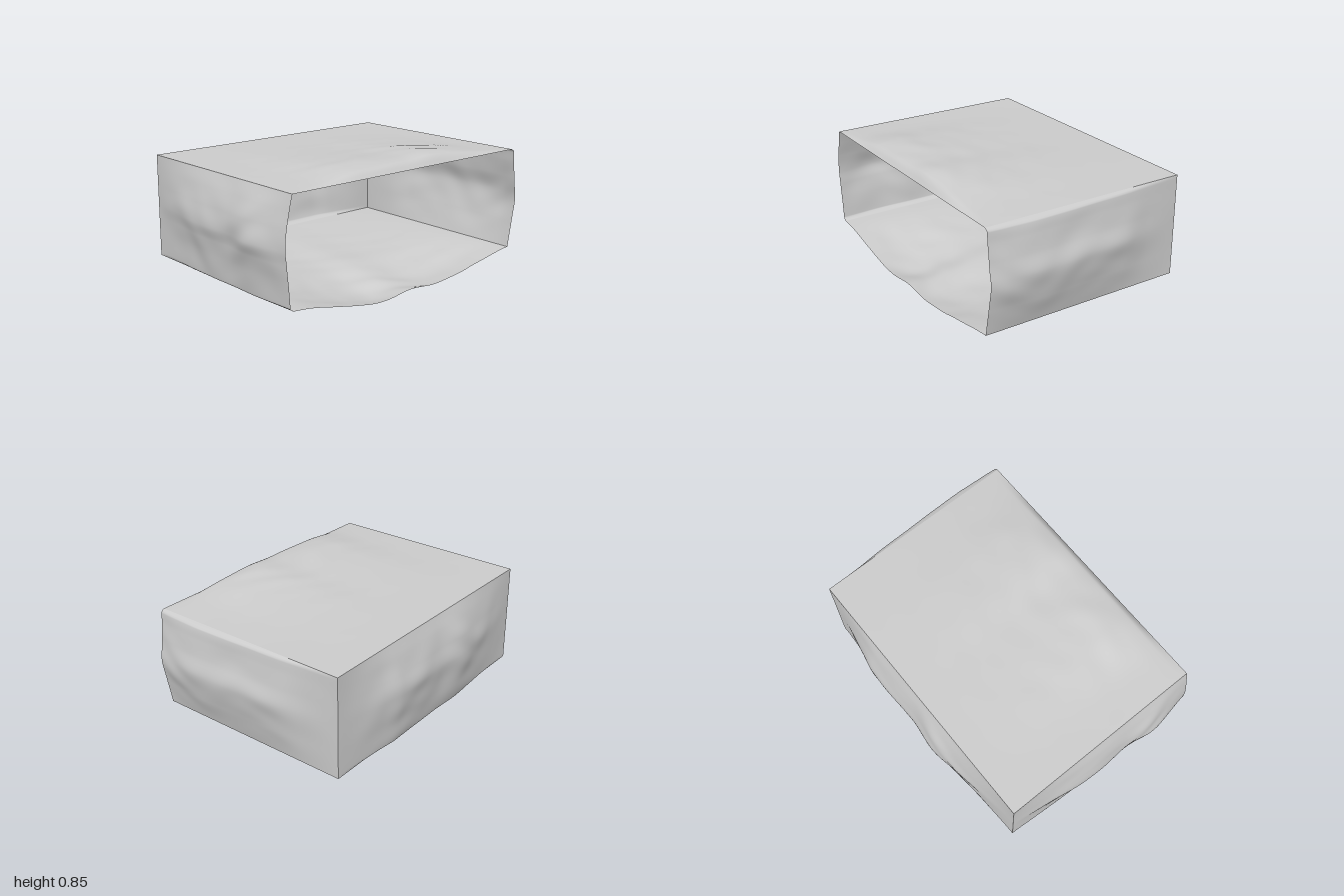
import * as THREE from 'three';

// Smooth curve through [position, bulge] points without overshoot
function profile(points) {
  const slope = (i) => (points[i + 1][1] - points[i][1]) / (points[i + 1][0] - points[i][0]);
  const last = points.length - 1;
  const tangents = points.map((p, i) => {
    if (i === 0) return slope(0);
    if (i === last) return slope(last - 1);
    const a = slope(i - 1), b = slope(i);
    return a * b <= 0 ? 0 : (2 * a * b) / (a + b);
  });
  return (x) => {
    let i = 0;
    while (i < last - 1 && x > points[i + 1][0]) i++;
    const h = points[i + 1][0] - points[i][0];
    const t = (x - points[i][0]) / h, t2 = t * t, t3 = t2 * t;
    return (2 * t3 - 3 * t2 + 1) * points[i][1] + (t3 - 2 * t2 + t) * h * tangents[i]
      + (3 * t2 - 2 * t3) * points[i + 1][1] + (t3 - t2) * h * tangents[i + 1];
  };
}

// Long streaky wrinkles: l runs along the streaks, s across them
function wrinkles(l, s, seed) {
  const warp = Math.sin(5.3 * l + seed) + 0.6 * Math.sin(9.1 * l - 4 * s + 2 * seed);
  return 0.5 * Math.sin(17 * s + 3 * l + 1.3 * warp + seed)
    + 0.35 * Math.sin(31 * s - 6 * l + 1.7 * warp + 3 * seed)
    + 0.25 * Math.sin(8 * l + 9 * s + 5 * seed)
    + 0.2 * Math.sin(19 * l + 23 * s + warp + seed);
}

const material = new THREE.MeshStandardMaterial({ color: 0xcccccc, side: THREE.DoubleSide });
const SEGMENTS = 84;

// Wall whose bulge is the product of a profile along u and one along v
function wall({ name, u, v, place, seed, rough, streaksAlongU }) {
  const along = profile(u), across = profile(v);
  const peak = Math.max(...u.map((p) => p[1]));
  const geometry = new THREE.PlaneGeometry(1, 1, SEGMENTS, SEGMENTS);
  const position = geometry.attributes.position;
  const lerp = THREE.MathUtils.lerp;
  for (let i = 0; i < position.count; i++) {
    const a = lerp(u[0][0], u[u.length - 1][0], position.getX(i) + 0.5);
    const b = lerp(v[0][0], v[v.length - 1][0], position.getY(i) + 0.5);
    const n = streaksAlongU ? wrinkles(a, b, seed) : wrinkles(b, a, seed);
    const bulge = Math.max(0, along(a) * across(b) / peak) * (0.97 + rough * n);
    position.setXYZ(i, ...place(a, b, bulge));
  }
  geometry.computeVertexNormals();
  const mesh = new THREE.Mesh(geometry, material);
  mesh.name = name;
  return mesh;
}

export function createModel() {
  const group = new THREE.Group();
  group.name = 'openShell';

  // Box behind the bulges, open at the front
  const X = 0.9, BOTTOM = 0.14, TOP = 0.79, BACK = -0.62, FRONT = 0.72;

  group.add(wall({
    name: 'topWall', seed: 1.4, rough: 0.06, streaksAlongU: false,
    u: [[BACK, 0], [-0.45, 0.004], [0, 0.025], [0.3, 0.048], [0.57, 0.068], [0.68, 0.052], [FRONT, 0]],
    v: [[-X, 0], [-0.7, 0.012], [-0.4, 0.054], [-0.2, 0.06], [0, 0.056], [0.2, 0.068], [0.45, 0.05], [0.7, 0.016], [X, 0]],
    place: (z, x, d) => [x, TOP + d, z],
  }));

  group.add(wall({
    name: 'bottomWall', seed: 2.7, rough: 0.05, streaksAlongU: true,
    u: [[-X, 0], [-0.8, 0.012], [-0.6, 0.06], [-0.4, 0.11], [-0.2, 0.138], [0, 0.105], [0.2, 0.12], [0.42, 0.098], [0.6, 0.06], [0.85, 0.006], [X, 0]],
    v: [[BACK, 0], [-0.3, 0.03], [0, 0.056], [0.2, 0.074], [0.4, 0.118], [0.57, 0.138], [FRONT, 0.112]],
    place: (x, z, d) => [x, BOTTOM - d, z],
  }));

  group.add(wall({
    name: 'backWall', seed: 4.1, rough: 0.08, streaksAlongU: false,
    u: [[BOTTOM, 0], [0.156, 0.04], [0.3, 0.07], [0.48, 0.102], [0.6, 0.076], [0.7, 0.04], [TOP, 0]],
    v: [[-X, 0], [-0.8, 0.012], [-0.6, 0.04], [-0.4, 0.07], [-0.2, 0.102], [0, 0.08], [0.2, 0.085], [0.4, 0.085], [0.55, 0.055], [0.8, 0.01], [X, 0]],
    place: (y, x, d) => [x, y, BACK - d],
  }));

  group.add(wall({
    name: 'leftWall', seed: 5.9, rough: 0.08, streaksAlongU: false,
    u: [[BOTTOM, 0], [0.3, 0.05], [0.48, 0.092], [0.6, 0.066], [0.7, 0.046], [0.776, 0.035], [TOP, 0]],
    v: [[BACK, 0], [-0.4, 0.025], [-0.2, 0.062], [0, 0.075], [0.2, 0.084], [0.4, 0.092], [0.6, 0.076], [FRONT, 0.055]],
    place: (y, z, d) => [X + d, y, z],
  }));

  group.add(wall({
    name: 'rightWall', seed: 7.3, rough: 0.08, streaksAlongU: true,
    u: [[BACK, 0], [-0.4, 0.035], [-0.2, 0.066], [0, 0.085], [0.2, 0.078], [0.4, 0.1], [0.6, 0.074], [FRONT, 0.055]],
    v: [[BOTTOM, 0], [0.156, 0.04], [0.3, 0.056], [0.4, 0.08], [0.48, 0.1], [0.6, 0.08], [0.7, 0.042], [TOP, 0]],
    place: (z, y, d) => [-X - d, y, z],
  }));

  return group;
}
